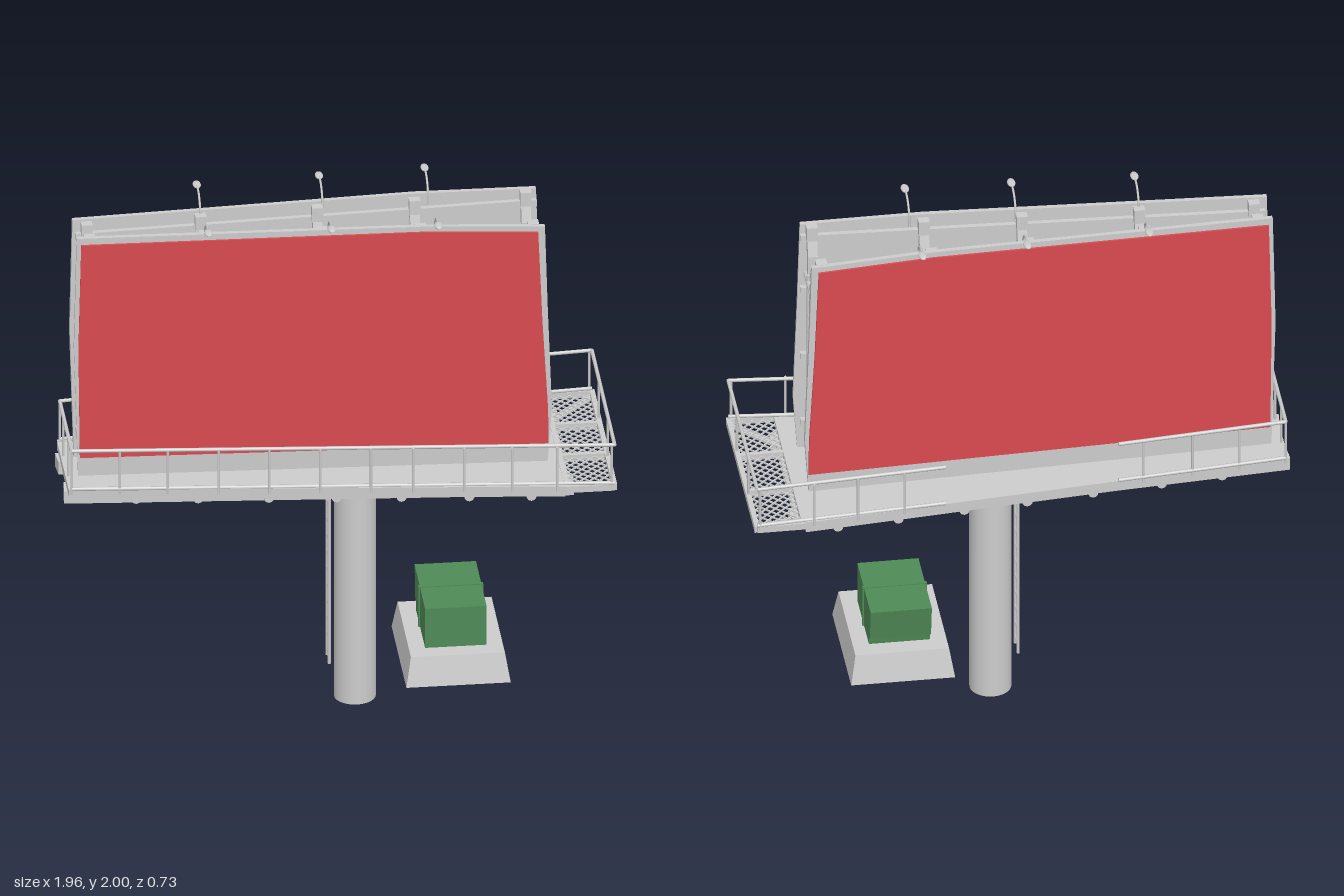
import * as THREE from 'three';
import { mergeGeometries } from 'three/addons/utils/BufferGeometryUtils.js';

const grey = new THREE.MeshStandardMaterial({ color: 0xcccccc });
const greyFlat = new THREE.MeshStandardMaterial({ color: 0xcccccc, flatShading: true, side: THREE.DoubleSide });
const red = new THREE.MeshStandardMaterial({ color: 0xd84a4f });
const green = new THREE.MeshStandardMaterial({ color: 0x4f8a57 });

const V = (x, y, z) => new THREE.Vector3(x, y, z);
// Half widths of the tapering plan at a given x
const edge = x => Math.min(0.36, 0.19 + (x + 0.97) * 0.0966);
const face = x => 0.08 + (x + 0.93) * 0.0444;
const beamZ = x => 0.11 + (x + 0.98) * 0.077;
const aisle = x => 0.06 + (x + 0.93) * 0.033;
const TILT = Math.atan(0.0444);

// Box-section bar between two points (w across, h roughly vertical)
function bar(a, b, w, h = w) {
  const g = new THREE.BoxGeometry(w, h, a.distanceTo(b));
  const m = new THREE.Matrix4().lookAt(a, b, Math.abs(a.y - b.y) > 0.95 * a.distanceTo(b) ? V(1, 0, 0) : V(0, 1, 0));
  return g.applyMatrix4(m.setPosition(a.clone().add(b).multiplyScalar(0.5)));
}
// Round bar between two points
function rod(a, b, r, sides = 8) {
  const g = new THREE.CylinderGeometry(r, r, a.distanceTo(b), sides);
  const q = new THREE.Quaternion().setFromUnitVectors(V(0, 1, 0), b.clone().sub(a).normalize());
  return g.applyQuaternion(q).translate((a.x + b.x) / 2, (a.y + b.y) / 2, (a.z + b.z) / 2);
}
function box(w, h, d, x, y, z) {
  return new THREE.BoxGeometry(w, h, d).translate(x, y, z);
}
function polygon(points) {
  return new THREE.Shape(points.map(p => new THREE.Vector2(p[0], p[1])));
}
// Diamond mesh clipped to a rectangle in plan
function lattice(x0, x1, z0, z1, y, step = 0.036) {
  const out = [], w = x1 - x0, d = z1 - z0;
  for (let c = step / 2; c < w + d; c += step) {
    const s = Math.max(0, c - d), e = Math.min(w, c);
    if (e - s < 0.004) continue;
    out.push(bar(V(x0 + s, y, z0 + c - s), V(x0 + e, y, z0 + c - e), 0.005));
    out.push(bar(V(x0 + s, y, z1 - c + s), V(x0 + e, y, z1 - c + e), 0.005));
  }
  return out;
}
function ladder(x, z0, z1, y0, y1) {
  const out = [z0, z1].map(z => rod(V(x, y0, z), V(x, y1, z), 0.006));
  for (let y = y0 + 0.03; y < y1; y += 0.066) out.push(rod(V(x, y, z0), V(x, y, z1), 0.004, 6));
  return out;
}

export function createModel() {
  const model = new THREE.Group();
  function add(name, parts, material = grey) {
    const geometry = Array.isArray(parts) ? mergeGeometries(parts) : parts;
    const mesh = new THREE.Mesh(geometry, material);
    mesh.name = name;
    model.add(mesh);
    return mesh;
  }

  add('pole', new THREE.CylinderGeometry(0.075, 0.075, 0.94, 32).translate(0.075, 0.47, 0));
  add('poleLadder', ladder(-0.02, -0.033, 0.033, 0.15, 0.98));

  // Tapered deck with a slot along the middle
  const deckShape = polygon([[-0.97, -0.19], [0.79, -0.36], [0.79, 0.36], [-0.97, 0.19]]);
  deckShape.holes.push(polygon([[-0.88, -aisle(-0.88)], [-0.88, aisle(-0.88)], [0.69, aisle(0.69)], [0.69, -aisle(0.69)]]));
  const deck = new THREE.ExtrudeGeometry(deckShape, { depth: 0.025, bevelEnabled: false });
  add('deck', deck.rotateX(-Math.PI / 2).translate(0, 0.96, 0));

  // Plates under the aisle, leaving the ladder hatch open
  const floorPlate = (x0, x1) => new THREE.ExtrudeGeometry(
    polygon([[x0, -aisle(x0)], [x1, -aisle(x1)], [x1, aisle(x1)], [x0, aisle(x0)]]),
    { depth: 0.008, bevelEnabled: false }).rotateX(-Math.PI / 2).translate(0, 0.956, 0);
  add('aisleFloor', [floorPlate(-0.9, -0.17), floorPlate(0, 0.71)]);
  const cells = [-0.88, -0.62, -0.345, -0.08, 0.17, 0.42, 0.69];
  const aisleMesh = [];
  cells.forEach((x, i) => {
    aisleMesh.push(box(0.035, 0.016, aisle(x) * 2, x, 0.98, 0));
    if (i) aisleMesh.push(...lattice(cells[i - 1], x, -aisle(x) + 0.005, aisle(x) - 0.005, 0.978));
  });
  add('aisleGrating', aisleMesh);

  // Open grating at the wide end
  const endMesh = [];
  [-0.35, -0.117, 0.117].forEach(z => endMesh.push(...lattice(0.8, 0.96, z, z + 0.233, 0.975)));
  [-0.355, -0.117, 0.117, 0.355].forEach(z => endMesh.push(bar(V(0.79, 0.975, z), V(0.965, 0.975, z), 0.018, 0.025)));
  [0.795, 0.965].forEach(x => endMesh.push(box(0.018, 0.025, 0.72, x, 0.975, 0)));
  for (const s of [-1, 1]) endMesh.push(bar(V(0.82, 0.935, s * 0.25), V(0.965, 0.97, s * 0.34), 0.016));
  add('endGrating', endMesh);

  // Understructure: main beams, outriggers and cross members
  const beams = [], outriggers = [];
  const stations = [-0.73, -0.51, -0.26, -0.02, 0.21, 0.45, 0.67];
  for (const s of [-1, 1]) {
    beams.push(bar(V(-0.98, 0.935, s * beamZ(-0.98)), V(0.83, 0.935, s * beamZ(0.83)), 0.07, 0.05));
    beams.push(bar(V(-0.97, 0.969, s * 0.186), V(0.79, 0.969, s * 0.356), 0.012, 0.04));
    for (const x of stations)
      outriggers.push(rod(V(x, 0.943, s * (beamZ(x) - 0.05)), V(x, 0.943, s * (edge(x) - 0.01)), 0.018, 10));
  }
  for (const x of [-0.95, ...stations, 0.8]) beams.push(box(0.03, 0.03, beamZ(x) * 2, x, 0.945, 0));
  add('mainBeams', beams);
  add('outriggers', outriggers);

  // Railings; the back one has a gap in the middle
  const rails = [];
  function rail(x0, x1, s) {
    for (const y of [1.145, 0.992]) rails.push(rod(V(x0, y, s * edge(x0)), V(x1, y, s * edge(x1)), 0.007));
  }
  rail(-0.96, 0.965, 1);
  rail(-0.96, -0.35, -1);
  rail(0.28, 0.965, -1);
  for (const s of [-1, 1])
    for (const x of [-0.96, -0.79, -0.62, -0.44, -0.26, -0.08, 0.1, 0.25, 0.43, 0.6, 0.76, 0.955]) {
      if (s < 0 && x > -0.4 && x < 0.28) continue;
      rails.push(rod(V(x, 0.97, s * edge(x)), V(x, 1.145, s * edge(x)), 0.005, 6));
    }
  for (const x of [-0.96, 0.965]) {
    rails.push(rod(V(x, 1.145, -edge(x)), V(x, 1.145, edge(x)), 0.007));
    for (const t of [-0.4, 0.4]) rails.push(rod(V(x, 0.97, t * edge(x)), V(x, 1.145, t * edge(x)), 0.005, 6));
  }
  add('railings', rails);

  // Two slightly diverging boards, each with backing, posts and lamps
  const backing = polygon([[-0.925, 0.985], [0.75, 0.985], [0.765, 1.2], [0.75, 1.6], [0.74, 1.93], [0.3, 1.945], [-0.93, 1.94], [-0.94, 1.5]]);
  const sheet = polygon([[-0.92, 1.06], [0.752, 1.06], [0.75, 1.2], [0.73, 1.55], [0.715, 1.91], [0.3, 1.925], [-0.915, 1.915], [-0.925, 1.5]]);
  const slab = (shape, depth) => new THREE.ExtrudeGeometry(shape, { depth, bevelEnabled: false }).translate(0, 0, -depth / 2);
  for (const s of [-1, 1]) {
    const side = s > 0 ? 'front' : 'back';
    const place = (mesh, offset) => {
      mesh.rotation.y = -s * TILT;
      mesh.position.z = s * (face(0) + offset);
    };
    place(add(side + 'Backing', slab(backing, 0.018)), -0.009);
    place(add(side + 'Sheet', slab(sheet, 0.008), red), 0.004);

    // Posts step towards the board near the top
    const frame = [];
    for (const x of [-0.88, -0.47, -0.05, 0.3, 0.7]) {
      const z = d => s * (face(x) - d);
      frame.push(bar(V(x, 0.97, z(0.052)), V(x, 1.82, z(0.052)), 0.03, 0.035));
      frame.push(bar(V(x, 1.81, z(0.052)), V(x, 1.88, z(0.034)), 0.03, 0.035));
      frame.push(box(0.04, 0.055, 0.04, x, 1.905, z(0.032)));
    }
    for (const y of [1.1, 1.38, 1.66, 1.88])
      frame.push(bar(V(-0.92, y, s * (face(-0.92) - 0.027)), V(0.74, y, s * (face(0.74) - 0.027)), 0.02, 0.025));
    add(side + 'Frame', frame);

    const lamps = [];
    for (const x of [-0.47, -0.03, 0.35]) {
      const z = d => s * (face(x) + d);
      const arm = new THREE.CatmullRomCurve3([V(x, 1.9, z(-0.025)), V(x, 1.955, z(-0.018)), V(x, 1.985, z(0.015)), V(x, 1.995, z(0.07))]);
      lamps.push(new THREE.TubeGeometry(arm, 12, 0.004, 6));
      lamps.push(new THREE.SphereGeometry(1, 14, 8).scale(0.015, 0.007, 0.028).translate(x, 1.992, z(0.085)));
    }
    add(side + 'Lamps', lamps);
  }

  // Ladder and ties between the boards
  add('boardLadder', ladder(0.72, 0.002, 0.064, 0.97, 1.76));
  add('boardTies', [-0.47, 0.3, 0.72].map(x => rod(V(x, 1.73, -face(x) + 0.03), V(x, 1.73, face(x) - 0.03), 0.009)));

  // Hollow plinth carrying the cabinet
  const r = Math.SQRT2;
  const plinth = new THREE.LatheGeometry(
    [[r, 0], [r * 0.9, 0.11], [0, 0.11]].map(p => new THREE.Vector2(p[0], p[1])), 4, Math.PI / 4);
  add('plinth', plinth.scale(0.187, 1, 0.235).translate(0.415, 0.168, 0.048), greyFlat);

  // Cabinet extruded across x from its side outline (z, y)
  const cabinet = new THREE.ExtrudeGeometry(
    polygon([[-0.195, 0.275], [0.095, 0.275], [0.1, 0.31], [0.118, 0.315], [0.14, 0.438], [-0.195, 0.435]]),
    { depth: 0.22, bevelEnabled: false });
  add('cabinet', cabinet.rotateY(Math.PI / 2).translate(0.305, 0, 0), green);
  add('cabinetSeam', box(0.232, 0.162, 0.014, 0.415, 0.359, 0.03), green);

  return model;
}
